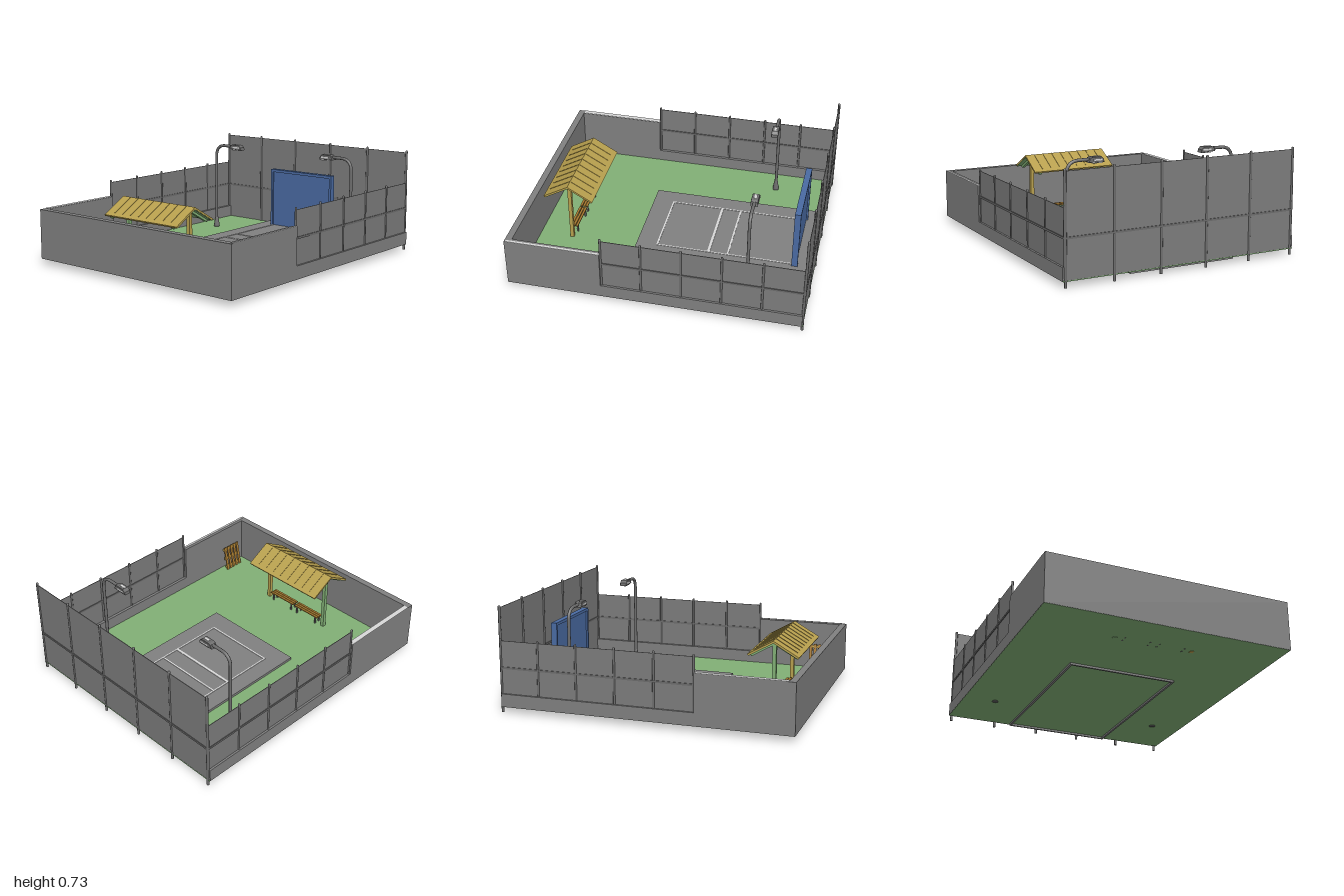
import * as THREE from 'three';

const mat = (name, color, side = THREE.FrontSide) => {
  const m = new THREE.MeshStandardMaterial({ color, side });
  m.name = name;
  return m;
};

export function createModel() {
  const concrete = mat('concrete grey', 0x808080);
  const mesh = mat('fence grey', 0x7c7c7c, THREE.DoubleSide);
  const metal = mat('metal grey', 0x6c6c6c);
  const grass = mat('grass green', 0x82b076);
  const blue = mat('board blue', 0x4a6ba3);
  const white = mat('line white', 0xd8d8d8);
  const roofTan = mat('roof ochre', 0xb8a04e);
  const wood = mat('bench wood', 0xa87a30);

  const model = new THREE.Group();
  model.name = 'sportsCourt';

  const add = (parent, name, geo, m, x = 0, y = 0, z = 0) => {
    const o = new THREE.Mesh(geo, m);
    o.name = name;
    o.position.set(x, y, z);
    parent.add(o);
    return o;
  };
  // Box given by its limits on each axis
  const span = (parent, name, m, x0, x1, y0, y1, z0, z1) =>
    add(parent, name, new THREE.BoxGeometry(x1 - x0, y1 - y0, z1 - z0), m,
      (x0 + x1) / 2, (y0 + y1) / 2, (z0 + z1) / 2);
  const group = (name, parent = model) => {
    const g = new THREE.Group();
    g.name = name;
    parent.add(g);
    return g;
  };

  // Ground
  span(model, 'ground', grass, -0.843, 0.843, 0.04, 0.046, -0.995, 0.998);

  // Solid walls: tall round the front, low under the side fences
  const walls = group('walls');
  span(walls, 'frontWall', concrete, -0.845, 0.845, 0.041, 0.385, 0.955, 1);
  for (const s of [-1, 1]) {
    const a = Math.min(s * 0.807, s * 0.845), b = Math.max(s * 0.807, s * 0.845);
    span(walls, 'sideWall', concrete, a, b, 0.041, 0.385, 0.35, 0.955);
    span(walls, 'lowWall', concrete, a, b, 0.041, 0.13, -0.99, 0.35);
  }
  span(walls, 'leftCap', white, -0.845, -0.81, 0.385, 0.388, 0.35, 0.95);
  span(walls, 'rightCap', white, 0.828, 0.845, 0.385, 0.388, 0.35, 0.99);

  // Post with a rounded top
  const post = (parent, x, y0, y1, z, r = 0.009) => {
    add(parent, 'fencePost', new THREE.CylinderGeometry(r, r, y1 - y0 - r, 10), metal, x, (y0 + y1 - r) / 2, z);
    add(parent, 'postCap', new THREE.SphereGeometry(r, 10, 6), metal, x, y1 - r, z);
  };

  // Back fence
  const backFence = group('backFence');
  span(backFence, 'backPanel', mesh, -0.825, 0.825, 0.04, 0.71, -0.994, -0.99);
  span(backFence, 'backRail', metal, -0.825, 0.825, 0.3, 0.314, -0.999, -0.985);
  for (let i = 0; i < 6; i++) post(backFence, -0.825 + i * 0.33, 0, 0.725, -0.991);

  // Side fences
  for (const s of [-1, 1]) {
    const fence = group(s > 0 ? 'leftFence' : 'rightFence');
    const x = s * 0.829;
    span(fence, 'sidePanel', mesh, x - 0.002, x + 0.002, 0.13, 0.49, -0.99, 0.35);
    span(fence, 'sideRail', metal, x - 0.007, x + 0.007, 0.3, 0.314, -0.99, 0.35);
    for (let i = 0; i < 6; i++) post(fence, x, 0.13, 0.507, 0.345 - i * 0.267, 0.008);
  }

  // Court slab with a hollow rim below the ground
  const court = group('court');
  span(court, 'slab', concrete, -0.38, 0.38, 0.046, 0.064, -0.98, 0.258);
  for (const s of [-1, 1])
    span(court, 'rimSide', concrete, s * 0.373 - 0.007, s * 0.373 + 0.007, 0.026, 0.046, -0.98, 0.258);
  for (const z of [-0.973, 0.251])
    span(court, 'rimEnd', concrete, -0.366, 0.366, 0.026, 0.046, z - 0.007, z + 0.007);
  for (const x of [-0.257, 0.257])
    span(court, 'sideLine', white, x - 0.005, x + 0.005, 0.064, 0.067, -0.84, 0.117);
  for (const [z, h] of [[-0.39, 0.006], [-0.255, 0.009], [0.111, 0.006]])
    span(court, 'crossLine', white, -0.252, 0.252, 0.064, 0.067, z - h, z + h);

  // Practice board: recessed panel in a frame
  const board = group('practiceBoard');
  span(board, 'boardPanel', blue, -0.265, 0.265, 0.064, 0.48, -0.868, -0.85);
  for (const s of [-1, 1])
    span(board, 'boardUpright', blue, s * 0.271 - 0.009, s * 0.271 + 0.009, 0.064, 0.48, -0.88, -0.838);
  span(board, 'boardTop', blue, -0.28, 0.28, 0.48, 0.5, -0.88, -0.838);

  // Lamps, one each side, heads pointing over the court
  const headShape = new THREE.Shape([[0.472, 0.67], [0.462, 0.694], [0.45, 0.7], [0.385, 0.7], [0.368, 0.684], [0.365, 0.667]]
    .map(([x, y]) => new THREE.Vector2(x, y)));
  for (const s of [1, -1]) {
    const lamp = group('lamp');
    lamp.position.z = -0.59;
    if (s < 0) lamp.rotation.y = Math.PI;
    const path = new THREE.CurvePath();
    const V = (x, y) => new THREE.Vector3(x, y, 0);
    path.add(new THREE.LineCurve3(V(0.62, 0.04), V(0.62, 0.6)));
    path.add(new THREE.QuadraticBezierCurve3(V(0.62, 0.6), V(0.62, 0.686), V(0.535, 0.686)));
    path.add(new THREE.LineCurve3(V(0.535, 0.686), V(0.44, 0.686)));
    add(lamp, 'lampPole', new THREE.TubeGeometry(path, 60, 0.011, 10), metal);
    const base = [[0, 0.037], [0.022, 0.037], [0.022, 0.06], [0.013, 0.115], [0.011, 0.12]]
      .map(([x, y]) => new THREE.Vector2(x, y));
    add(lamp, 'lampBase', new THREE.LatheGeometry(base, 12), metal, 0.62);
    add(lamp, 'lampHead', new THREE.ExtrudeGeometry(headShape, {
      depth: 0.036, bevelEnabled: true, bevelSize: 0.003, bevelThickness: 0.006, bevelSegments: 2,
    }), metal, 0, 0, -0.018);
    span(lamp, 'lampLens', white, 0.375, 0.445, 0.66, 0.666, -0.018, 0.018);
    span(lamp, 'lampWindow', white, 0.385, 0.43, 0.702, 0.705, -0.008, 0.008);
    for (const t of [-1, 1])
      span(lamp, 'lampSideWindow', white, 0.378, 0.44, 0.678, 0.688, t * 0.0245 - 0.001, t * 0.0245 + 0.001);
  }

  // Shelter
  const shelter = group('shelter');
  shelter.position.z = 0.725;
  for (const s of [-1, 1])
    span(shelter, 'shelterPost', s > 0 ? roofTan : grass, s * 0.27 - 0.013, s * 0.27 + 0.013, 0.037, 0.475, -0.013, 0.013);
  const pitch = Math.atan2(0.1, 0.175);
  const slopeLength = Math.hypot(0.1, 0.175);
  for (const s of [-1, 1]) {
    const slope = group('roofSlope', shelter);
    slope.position.set(0, 0.5, 0);
    if (s < 0) slope.rotation.y = Math.PI;
    const tilt = group('roofTilt', slope);
    tilt.rotation.x = pitch;
    span(tilt, 'roofSheet', roofTan, -0.32, 0.32, -0.012, 0, 0, slopeLength);
    span(tilt, 'roofSoffit', grass, -0.317, 0.317, -0.015, -0.012, 0.003, slopeLength - 0.004);
    for (let i = 1; i < 9; i++) {
      const x = -0.32 + i * 0.0711;
      span(tilt, 'roofSeam', roofTan, x - 0.002, x + 0.002, 0, 0.003, 0.004, slopeLength * 0.85);
    }
    for (const x of [-0.27, 0.27])
      span(tilt, 'rafter', grass, x - 0.012, x + 0.012, -0.03, -0.015, 0.01, slopeLength - 0.006);
  }

  // Two slatted benches under the roof
  for (const cx of [-0.12, 0.12]) {
    const bench = group('bench');
    bench.position.set(cx, 0, 0.725);
    for (const z of [-0.02, 0, 0.02])
      span(bench, 'benchSlat', wood, -0.113, 0.113, 0.1, 0.108, z - 0.008, z + 0.008);
    for (const x of [-0.09, 0.09]) {
      span(bench, 'benchBrace', metal, x - 0.005, x + 0.005, 0.092, 0.1, -0.026, 0.026);
      for (const z of [-0.021, 0.021])
        span(bench, 'benchLeg', metal, x - 0.005, x + 0.005, 0.038, 0.092, z - 0.005, z + 0.005);
    }
  }

  // Pallet leaning on the left wall
  const pallet = group('pallet');
  pallet.position.set(0.752, 0.046, 0.815);
  pallet.rotation.z = -0.2;
  for (let i = 0; i < 5; i++) {
    const z = (i - 2) * 0.032;
    span(pallet, 'palletBoard', wood, -0.004, 0.003, 0, 0.185, z - 0.01, z + 0.01);
  }
  for (const y of [0.02, 0.0925, 0.165])
    span(pallet, 'palletBearer', roofTan, 0.003, 0.016, y - 0.01, y + 0.01, -0.074, 0.074);

  return model;
}
